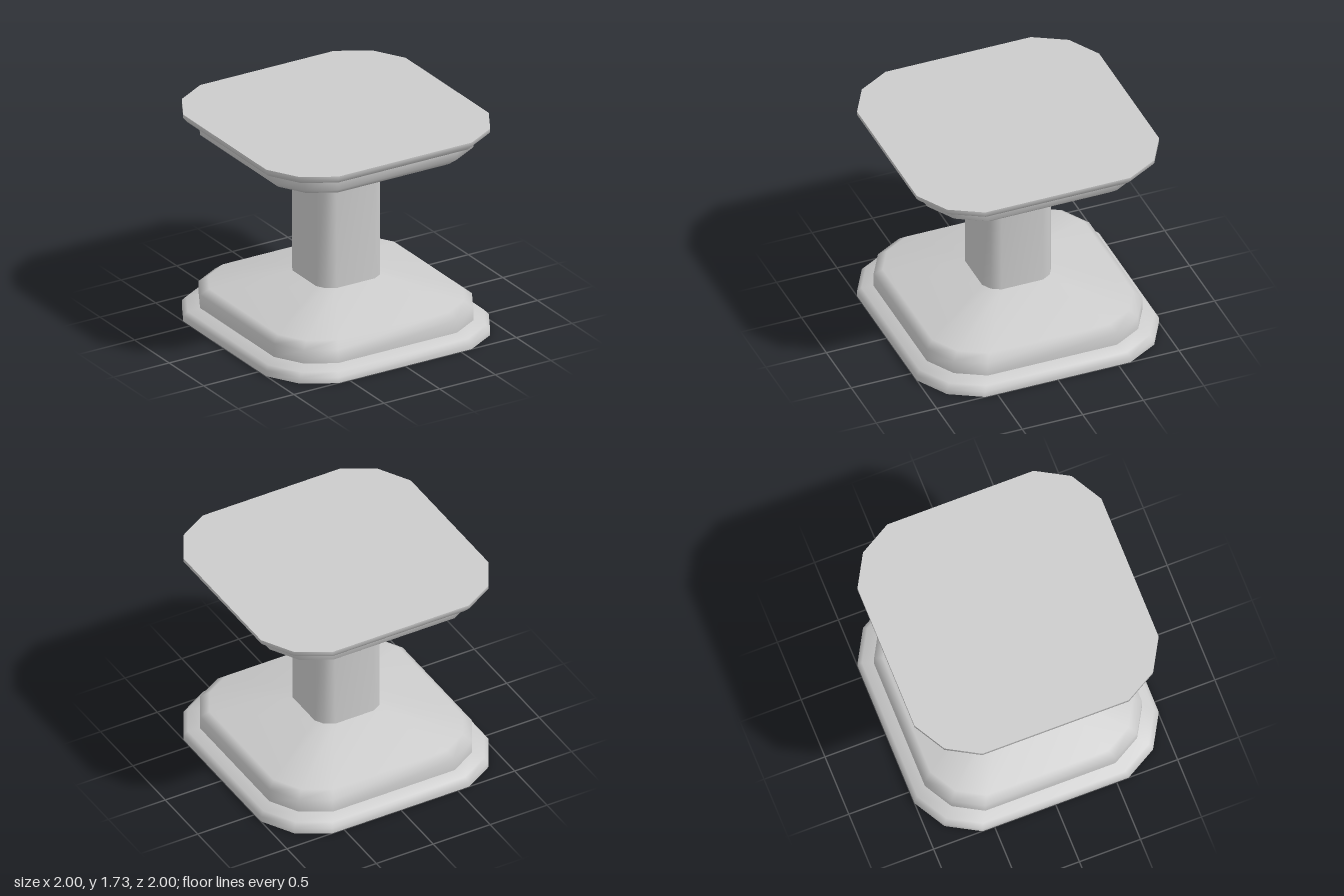
import * as THREE from 'three';

const material = new THREE.MeshStandardMaterial({ color: 0xcccccc });

// Square outline with two-facet corners, half width 1, as [x, z]
const OUTLINE = [];
for (let q = 0; q < 4; q++) {
  const c = [1, 0, -1, 0][q], s = [0, 1, 0, -1][q];
  for (const [x, z] of [[1, -0.6], [1, 0.6], [0.855, 0.855]]) OUTLINE.push([x * c - z * s, x * s + z * c]);
}

// Smooth wall through rings of [half width, y], listed from bottom to top
function wall(name, profile) {
  const n = OUTLINE.length, positions = [], index = [];
  for (const [r, y] of profile) for (const [x, z] of OUTLINE) positions.push(x * r, y, z * r);
  for (let k = 0; k < profile.length - 1; k++) {
    for (let i = 0; i < n; i++) {
      const a = k * n + i, b = k * n + (i + 1) % n;
      index.push(a, a + n, b, b, a + n, b + n);
    }
  }
  const geometry = new THREE.BufferGeometry();
  geometry.setAttribute('position', new THREE.Float32BufferAttribute(positions, 3));
  geometry.setIndex(index);
  geometry.computeVertexNormals();
  const mesh = new THREE.Mesh(geometry, material);
  mesh.name = name;
  return mesh;
}

// Flat end face, facing up (dir 1) or down (dir -1)
function cap(name, y, dir) {
  const shape = new THREE.Shape(OUTLINE.map(([x, z]) => new THREE.Vector2(x, z)));
  const geometry = new THREE.ShapeGeometry(shape);
  geometry.rotateX(-dir * Math.PI / 2);
  geometry.translate(0, y, 0);
  const mesh = new THREE.Mesh(geometry, material);
  mesh.name = name;
  return mesh;
}

export function createModel() {
  const model = new THREE.Group();
  model.name = 'pedestal';
  model.add(
    // Foot
    cap('footUnderside', 0, -1),
    wall('footPlinth', [[1, 0], [1, 0.045], [0.97, 0.08], [0.89, 0.11]]),
    wall('footSlope', [[0.89, 0.11], [0.89, 0.22], [0.83, 0.27], [0.285, 0.42]]),
    // Shaft
    wall('column', [[0.285, 0.42], [0.285, 1.42]]),
    // Head
    wall('headSlope', [[0.285, 1.42], [0.83, 1.508], [0.89, 1.56], [0.89, 1.635]]),
    wall('headSlab', [[0.89, 1.635], [0.97, 1.665], [1, 1.7], [1, 1.73]]),
    cap('tabletop', 1.73, 1),
  );
  return model;
}
